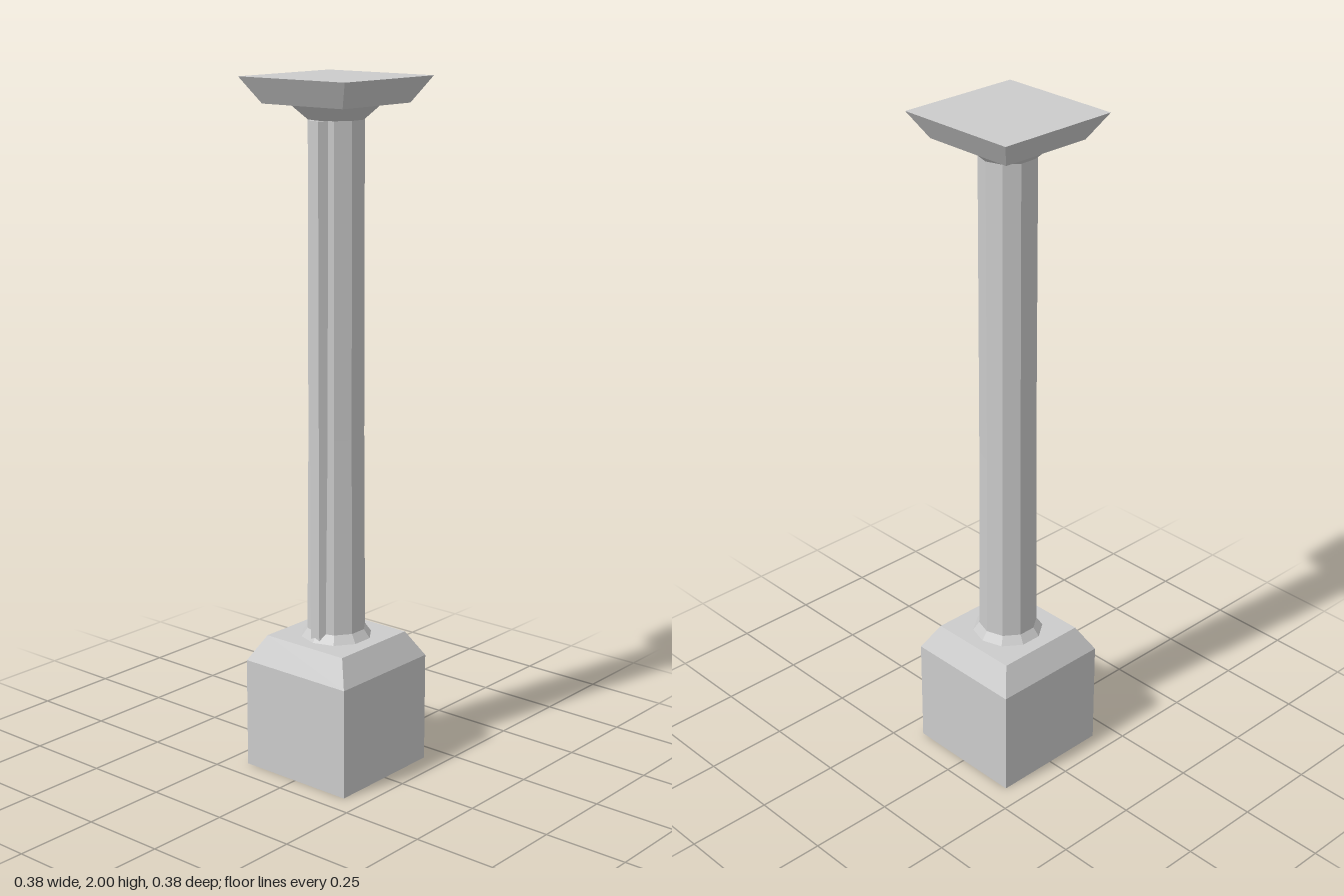
import * as THREE from 'three';

const material = new THREE.MeshStandardMaterial({ color: 0xcccccc, flatShading: true });

// Faceted solid from a bottom-up [radius, height] profile
function turned(name, profile, sides, start = 0) {
  const points = profile.map(([r, y]) => new THREE.Vector2(r, y));
  const mesh = new THREE.Mesh(new THREE.LatheGeometry(points, sides, start), material);
  mesh.name = name;
  return mesh;
}

// Square block: profile gives half-widths, closed top and bottom
function squareBlock(name, profile) {
  const corners = profile.map(([w, y]) => [w * Math.SQRT2, y]);
  const closed = [[0, profile[0][1]], ...corners, [0, profile[profile.length - 1][1]]];
  return turned(name, closed, 4, Math.PI / 4);
}

export function createModel() {
  const column = new THREE.Group();
  column.name = 'column';

  // Pedestal with chamfered top
  column.add(squareBlock('pedestal', [[0.185, 0], [0.185, 0.325], [0.142, 0.4]]));

  // Ten-sided shaft with a flared foot and slight taper
  column.add(turned('shaft', [
    [0.104, 0.4], [0.086, 0.425], [0.0815, 1.0], [0.08, 1.885],
  ], 10));

  // Hexagonal pipe running up the front of the shaft
  const pipe = turned('frontPipe', [
    [0, 0.4], [0.032, 0.4], [0.032, 1.885], [0, 1.885],
  ], 6, Math.PI / 6);
  pipe.position.z = 0.067;
  column.add(pipe);

  // Capital: flared neck under a square slab
  column.add(turned('capitalNeck', [[0, 1.885], [0.08, 1.885], [0.13, 1.927]], 10));
  column.add(squareBlock('capitalSlab', [[0.143, 1.927], [0.188, 2.0]]));

  return column;
}
